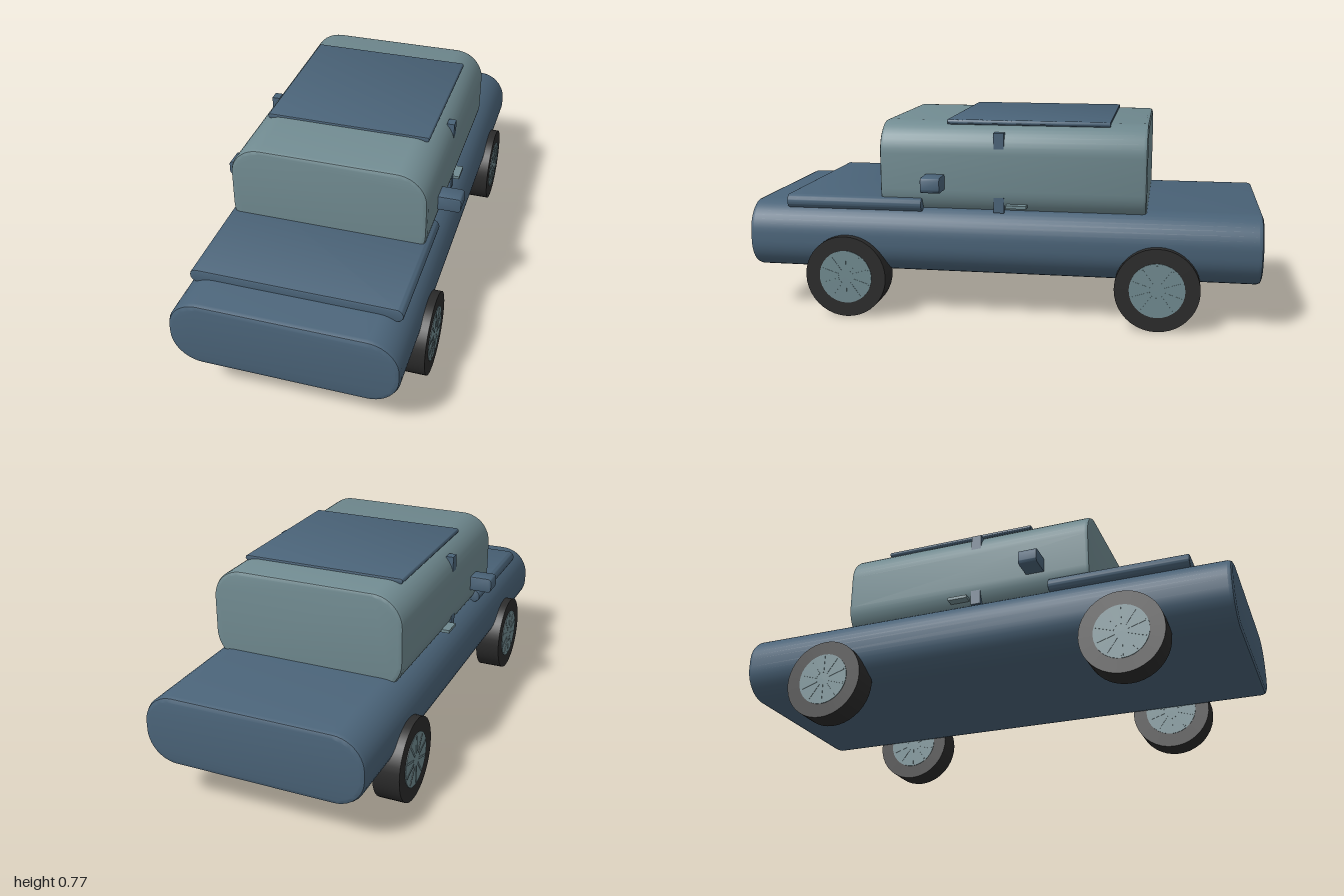
import * as THREE from 'three';
import { toCreasedNormals } from 'three/addons/utils/BufferGeometryUtils.js';

const mat = (name, color) => new THREE.MeshStandardMaterial({ name, color });

// Rounded cross-section in x/y, extruded along z with a small bevel on both ends
function roundedSlab([x0, x1], [y0, y1], [z0, z1], radius, bevel) {
  const l = x0 + bevel, r = x1 - bevel, b = y0 + bevel, t = y1 - bevel;
  const c = Math.max(radius - bevel, 0.001);
  const s = new THREE.Shape();
  s.absarc(r - c, b + c, c, -Math.PI / 2, 0);
  s.absarc(r - c, t - c, c, 0, Math.PI / 2);
  s.absarc(l + c, t - c, c, Math.PI / 2, Math.PI);
  s.absarc(l + c, b + c, c, Math.PI, Math.PI * 1.5);
  const geo = new THREE.ExtrudeGeometry(s, {
    depth: z1 - z0 - 2 * bevel, bevelEnabled: true, bevelThickness: bevel,
    bevelSize: bevel, bevelSegments: 2, curveSegments: 5,
  });
  geo.translate(0, 0, z0 + bevel);
  return toCreasedNormals(geo, 0.6);
}

export function createModel() {
  const car = new THREE.Group();
  car.name = 'car';
  const paint = mat('bluePaint', 0x4a6378);
  const glass = mat('paleGreyGreen', 0x708a90);
  const rubber = mat('tyreRubber', 0x2b2b2b);

  const add = (name, geo, material, parent = car) => {
    const mesh = new THREE.Mesh(geo, material);
    mesh.name = name;
    parent.add(mesh);
    return mesh;
  };

  // Main volumes
  add('body', roundedSlab([-0.43, 0.43], [0.165, 0.437], [-1, 1], 0.12, 0.018), paint);
  add('cabin', roundedSlab([-0.385, 0.385], [0.385, 0.763], [-0.565, 0.47], 0.12, 0.015), glass);
  add('hood', roundedSlab([-0.4, 0.4], [0.415, 0.47], [0.303, 0.85], 0.027, 0.006), paint);
  add('roofPanel', roundedSlab([-0.325, 0.325], [0.752, 0.772], [-0.42, 0.212], 0.01, 0.003), paint);

  for (const [side, s] of [['left', 1], ['right', -1]]) {
    // Door pillar, handle and mirror
    add(side + 'Pillar', new THREE.BoxGeometry(0.03, 0.31, 0.04), paint)
      .position.set(s * 0.367, 0.575, 0);
    add(side + 'DoorHandle', new THREE.BoxGeometry(0.04, 0.012, 0.08), glass)
      .position.set(s * 0.385, 0.449, -0.07);
    const span = s > 0 ? [0.36, 0.475] : [-0.475, -0.36];
    add(side + 'Mirror', roundedSlab(span, [0.506, 0.566], [0.212, 0.287], 0.015, 0.003), paint);

    // Wheels
    for (const [end, z] of [['Front', 0.597], ['Rear', -0.613]]) {
      const wheel = new THREE.Group();
      wheel.name = side + end + 'Wheel';
      wheel.position.set(s * 0.409, 0.161, z);
      wheel.rotation.z = -s * Math.PI / 2;
      car.add(wheel);
      add('tyre', new THREE.CylinderGeometry(0.161, 0.161, 0.104, 40), rubber, wheel);
      add('rim', new THREE.CylinderGeometry(0.105, 0.105, 0.109, 32), glass, wheel);
      // Thin radial spokes
      for (let i = 0; i < 10; i++) {
        const a = (i / 10) * Math.PI * 2;
        const spoke = add('spoke', new THREE.BoxGeometry(0.07, 0.112, 0.008), glass, wheel);
        spoke.position.set(Math.cos(a) * 0.062, 0, -Math.sin(a) * 0.062);
        spoke.rotation.y = a;
      }
    }
  }
  return car;
}
